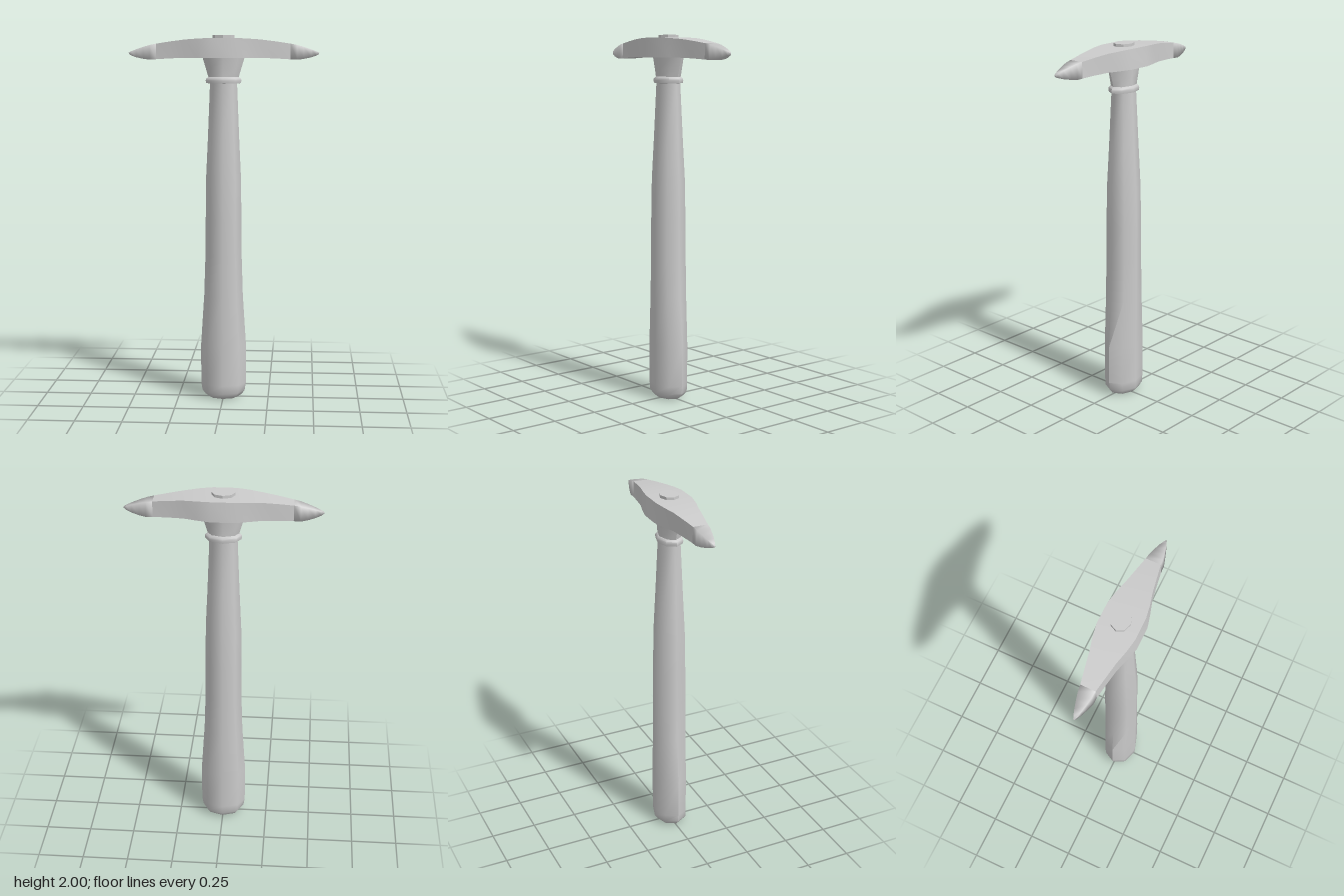
import * as THREE from 'three';
import { toCreasedNormals } from 'three/addons/utils/BufferGeometryUtils.js';

const material = new THREE.MeshStandardMaterial({ color: 0xcccccc });

// Skin between equal-sized rings, closed at both ends.
function loft(rings, crease) {
  const n = rings[0].length;
  const index = [];
  for (let r = 0; r < rings.length - 1; r++) {
    for (let i = 0; i < n; i++) {
      const j = (i + 1) % n;
      const a = r * n + i, b = r * n + j, c = b + n, d = a + n;
      index.push(a, b, c, a, c, d);
    }
  }
  const last = (rings.length - 1) * n;
  for (let i = 1; i < n - 1; i++) {
    index.push(0, i + 1, i, last, last + i, last + i + 1);
  }
  const geometry = new THREE.BufferGeometry();
  geometry.setAttribute('position', new THREE.Float32BufferAttribute(rings.flat(2), 3));
  geometry.setIndex(index);
  return toCreasedNormals(geometry, crease);
}

// Upright eight-sided oval ring.
function oval([y, rx, rz]) {
  return Array.from({ length: 8 }, (_, i) => {
    const t = (i / 8) * Math.PI * 2;
    return [rx * Math.sin(t), y, rz * Math.cos(t)];
  });
}

// Four-cornered section across the head.
function slab([x, top, bottom, zTop, zBottom]) {
  return [[x, top, zTop], [x, bottom, zBottom], [x, bottom, -zBottom], [x, top, -zTop]];
}

function part(name, geometry) {
  const mesh = new THREE.Mesh(geometry, material);
  mesh.name = name;
  return mesh;
}

export function createModel() {
  const group = new THREE.Group();
  group.name = 'pickHammer';

  // Oval grip: flared and rounded at the foot, slim at the top
  const handle = [
    [0, 0.08, 0.06], [0.012, 0.1, 0.078], [0.035, 0.118, 0.092], [0.08, 0.125, 0.091],
    [0.3, 0.125, 0.092], [0.58, 0.107, 0.093], [0.8, 0.1, 0.093], [1.0, 0.098, 0.092],
    [1.22, 0.096, 0.087], [1.45, 0.085, 0.074], [1.75, 0.073, 0.058],
  ];
  group.add(part('handle', loft(handle.map(oval), 1.0)));

  // Rolled ring under the head
  const collar = [
    [1.742, 0.07, 0.055], [1.744, 0.094, 0.066], [1.758, 0.097, 0.069],
    [1.768, 0.094, 0.067], [1.778, 0.08, 0.058],
  ];
  group.add(part('collar', loft(collar.map(oval), 0.9)));

  // Socket flaring up into the head
  const socket = [[1.77, 0.08, 0.056], [1.82, 0.095, 0.057], [1.89, 0.116, 0.06]];
  group.add(part('socket', loft(socket.map(oval), 0.9)));

  // Handle end showing through the head
  const plug = [[1.9, 0.06, 0.05], [2.0, 0.06, 0.05]];
  group.add(part('handleEnd', loft(plug.map(oval), 0.5)));

  // Arched head, widest around the handle
  const half = [
    [0.06, 1.985, 1.88, 0.1, 0.11], [0.13, 1.982, 1.88, 0.088, 0.092],
    [0.2, 1.977, 1.88, 0.07, 0.071], [0.28, 1.967, 1.877, 0.055, 0.057],
    [0.36, 1.955, 1.872, 0.04, 0.044],
  ];
  const mirrored = half.map(([x, ...rest]) => [-x, ...rest]).reverse();
  group.add(part('head', loft([...mirrored, ...half].map(slab), 0.5)));

  // Pointed ends with softly rounded sides
  const tip = [
    [0.36, 1.955, 1.872, 0.04, 0.044], [0.395, 1.948, 1.87, 0.036, 0.043],
    [0.43, 1.938, 1.874, 0.028, 0.033], [0.47, 1.925, 1.882, 0.018, 0.02],
    [0.5, 1.914, 1.892, 0.008, 0.009], [0.513, 1.907, 1.9, 0.003, 0.003],
  ];
  const tipGeometry = loft(tip.map(slab), 1.75);
  const leftTip = part('leftTip', tipGeometry);
  const rightTip = part('rightTip', tipGeometry);
  rightTip.rotation.y = Math.PI;
  group.add(leftTip, rightTip);

  return group;
}
